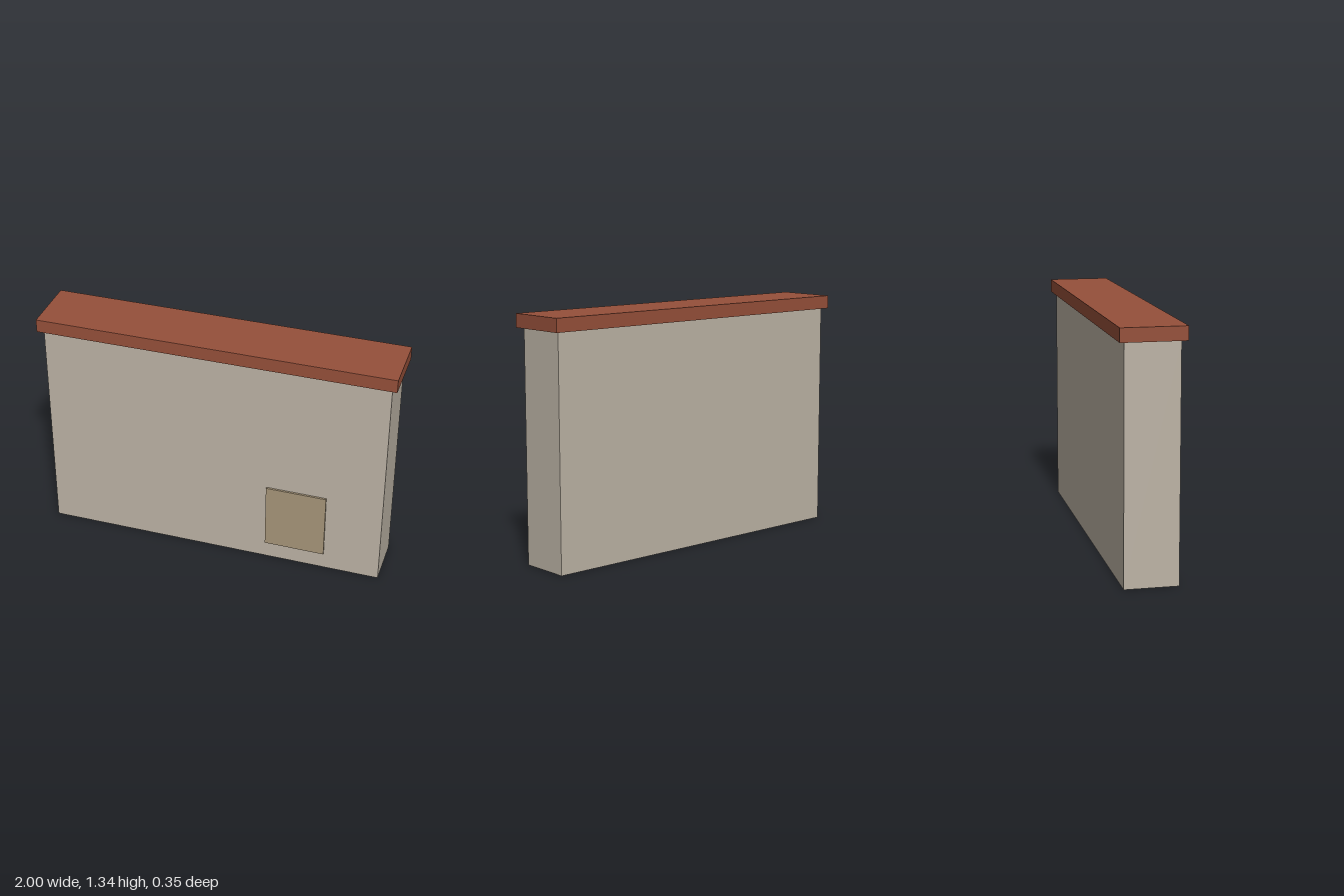
import * as THREE from 'three';

// Adds a named box spanning two opposite corners.
function addBox(group, name, material, min, max) {
  const size = max.map((v, i) => v - min[i]);
  const mesh = new THREE.Mesh(new THREE.BoxGeometry(...size), material);
  mesh.name = name;
  mesh.position.set(...max.map((v, i) => (v + min[i]) / 2));
  group.add(mesh);
}

function createMaterial(name, color) {
  const material = new THREE.MeshStandardMaterial({ color });
  material.name = name;
  return material;
}

export function createModel() {
  const model = new THREE.Group();
  model.name = 'gardenWall';

  const plaster = createMaterial('plaster', 0xbdb4a6);
  const terracotta = createMaterial('terracotta', 0x96503a);
  const bareRender = createMaterial('bareRender', 0xa8967a);

  // Main wall slab
  addBox(model, 'wall', plaster, [-0.97, 0, -0.145], [0.97, 1.267, 0.145]);

  // Overhanging coping along the top
  addBox(model, 'coping', terracotta, [-1, 1.267, -0.173], [1, 1.341, 0.173]);

  // Thin repair patch, set slightly into the front face
  addBox(model, 'patch', bareRender, [0.31, 0.1, 0.147], [0.653, 0.487, 0.156]);
  addBox(model, 'patchBacking', bareRender, [0.31, 0.1, 0.14], [0.653, 0.487, 0.147]);

  return model;
}
